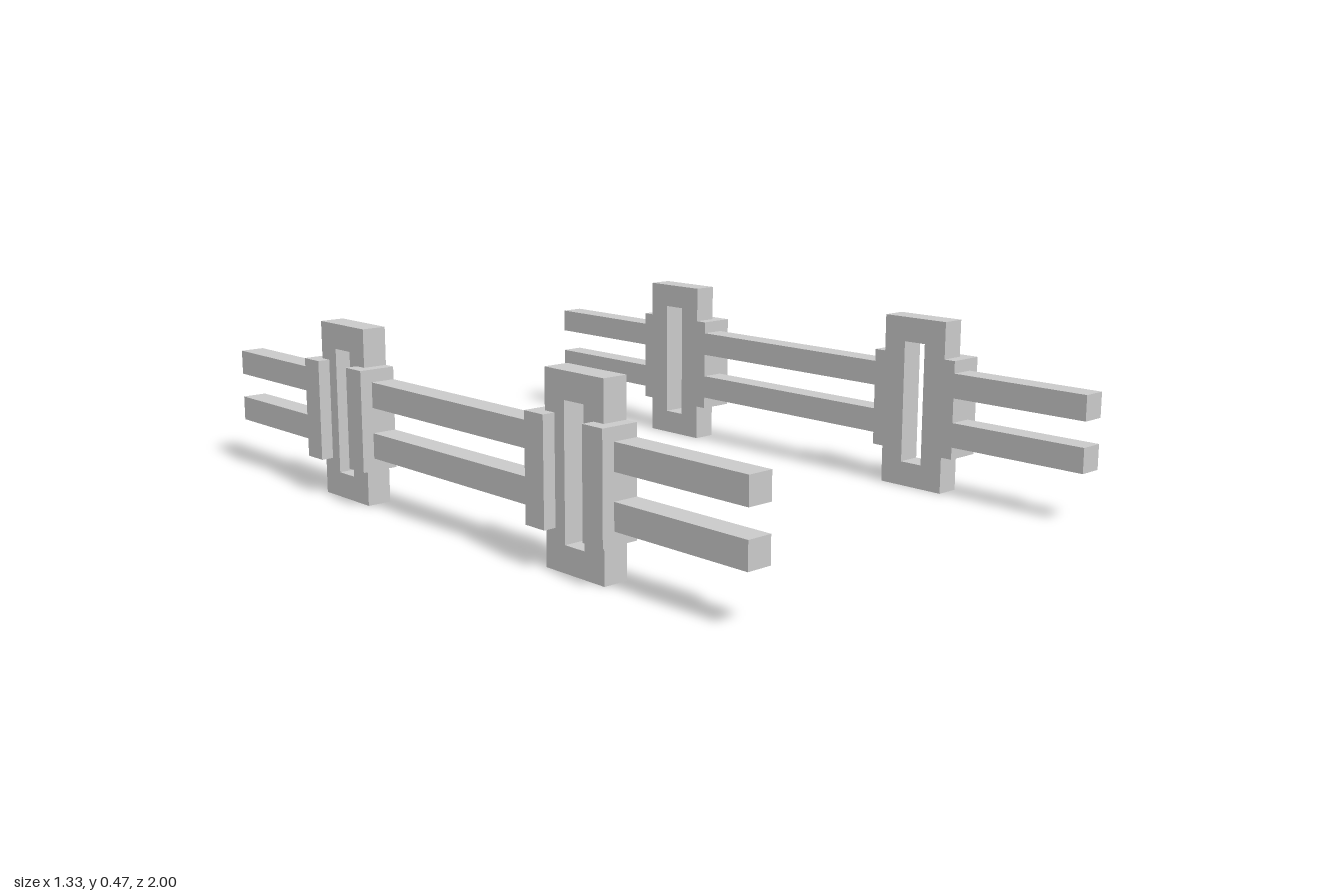
import * as THREE from 'three';

const U = 1 / 30; // half the bar thickness
const material = new THREE.MeshStandardMaterial({ color: 0xcccccc, flatShading: true });

function addMesh(parent, name, geometry) {
  const mesh = new THREE.Mesh(geometry, material);
  mesh.name = name;
  parent.add(mesh);
  return mesh;
}

// Upright rectangular frame with a tall slot, centred on z = 0
function frameGeometry() {
  const shape = new THREE.Shape([[-3, 0], [3, 0], [3, 14], [-3, 14]]
    .map(([z, y]) => new THREE.Vector2(z * U, y * U)));
  shape.holes.push(new THREE.Path([[-1, 2], [-1, 12], [1, 12], [1, 2]]
    .map(([z, y]) => new THREE.Vector2(z * U, y * U))));
  return new THREE.ExtrudeGeometry(shape, { depth: 2 * U, bevelEnabled: false })
    .translate(0, 0, -U).rotateY(Math.PI / 2);
}

// L-shaped clip that wraps the outer corner of a frame upright
function clipGeometry(side) {
  const shape = new THREE.Shape([[-1, 3], [1, 3], [1, 2], [2, 2], [2, 4], [-1, 4]]
    .map(([x, z]) => new THREE.Vector2(x * U, side * z * U)));
  return new THREE.ExtrudeGeometry(shape, { depth: 8 * U, bevelEnabled: false })
    .rotateX(-Math.PI / 2).translate(0, 3 * U, 0);
}

// One side: two rails broken by two slotted frames
function createRailing() {
  const railing = new THREE.Group();
  for (const y of [5 * U, 9 * U]) {
    for (const [start, end] of [[-30, -18], [-10, 10], [18, 30]]) {
      const rail = addMesh(railing, 'rail', new THREE.BoxGeometry(2 * U, 2 * U, (end - start) * U));
      rail.position.set(0, y, (start + end) / 2 * U);
    }
  }
  for (const z of [-14 * U, 14 * U]) {
    const post = new THREE.Group();
    post.name = 'post';
    post.position.z = z;
    addMesh(post, 'slottedFrame', frameGeometry());
    for (const side of [-1, 1]) addMesh(post, 'cornerClip', clipGeometry(side));
    railing.add(post);
  }
  return railing;
}

export function createModel() {
  const model = new THREE.Group();
  model.name = 'railings';
  // Clips face outwards on both sides
  for (const side of [1, -1]) {
    const railing = createRailing();
    railing.name = side > 0 ? 'leftRailing' : 'rightRailing';
    railing.position.x = side * 18 * U;
    if (side < 0) railing.rotation.y = Math.PI;
    model.add(railing);
  }
  return model;
}
